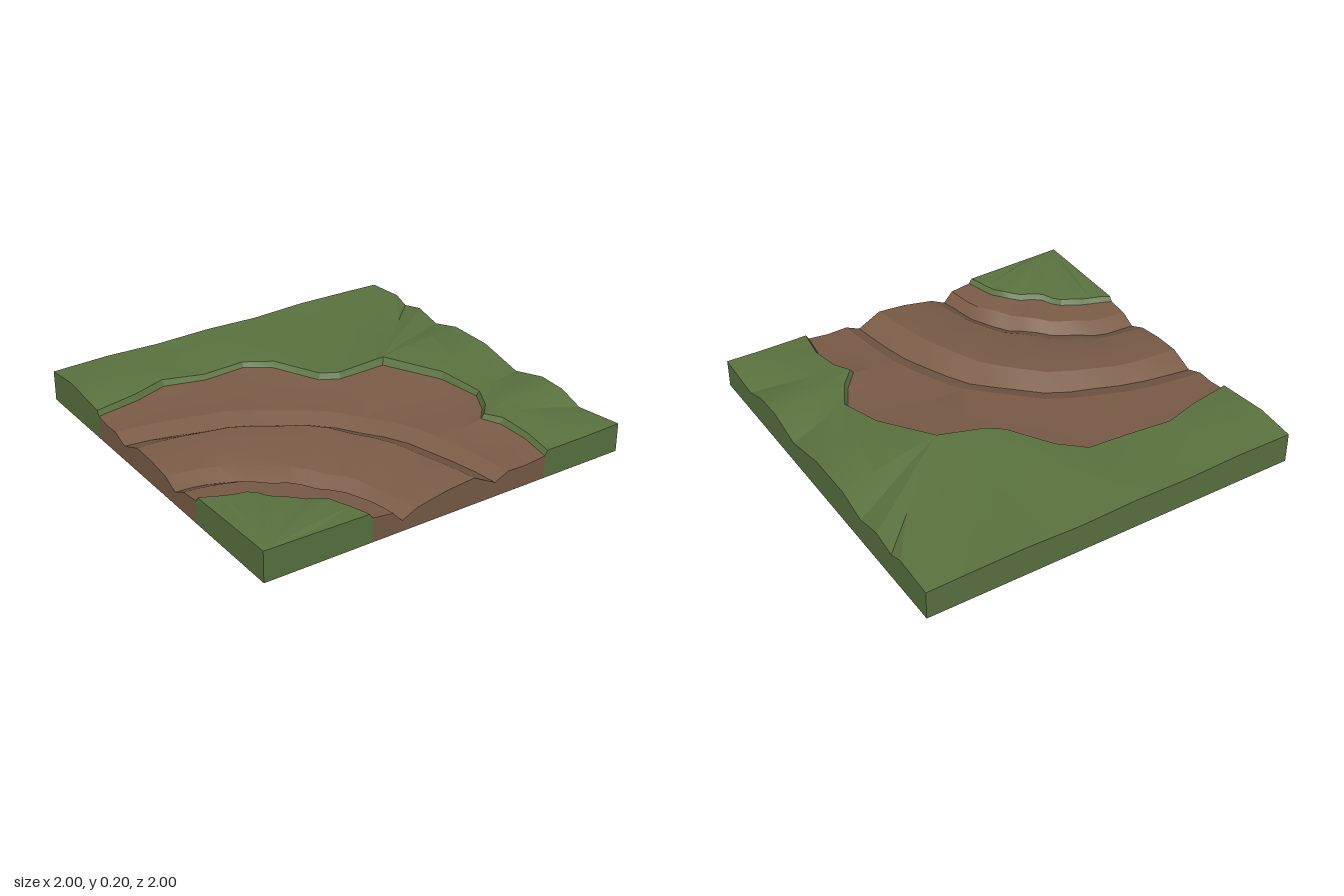
import * as THREE from 'three';
import { mergeGeometries, toCreasedNormals } from 'three/addons/utils/BufferGeometryUtils.js';

const GRASS = 0x5b7340, SOIL = 0x7a5c47;
const V = (x, y, z) => new THREE.Vector3(x, y, z);

// Surface through rows of matching points (rows run inside to outside).
function loft(rows) {
  const pos = [];
  const tri = (a, b, c) => {
    if (a.distanceTo(b) < 1e-5 || b.distanceTo(c) < 1e-5 || c.distanceTo(a) < 1e-5) return;
    for (const p of [a, b, c]) pos.push(p.x, p.y, p.z);
  };
  for (let r = 0; r + 1 < rows.length; r++) {
    for (let i = 0; i + 1 < rows[r].length; i++) {
      const a = rows[r][i], b = rows[r][i + 1], c = rows[r + 1][i], d = rows[r + 1][i + 1];
      tri(a, b, c);
      tri(b, d, c);
    }
  }
  const g = new THREE.BufferGeometry();
  g.setAttribute('position', new THREE.Float32BufferAttribute(pos, 3));
  return g;
}

const ground = (pts) => pts.map((p) => V(p.x, 0, p.z));
// Vertical skirts under the two cut ends of a set of rows.
function endWalls(rows) {
  const left = rows.map((r) => r[0]);
  const front = rows.map((r) => r[r.length - 1]);
  return [loft([left, ground(left)]), loft([ground(front), front])];
}

function addPart(group, name, color, parts) {
  const geo = toCreasedNormals(mergeGeometries(parts), 0.3);
  const mesh = new THREE.Mesh(geo, new THREE.MeshStandardMaterial({ color, side: THREE.DoubleSide }));
  mesh.name = name;
  group.add(mesh);
}

// Smooth line from [x, z] pairs, height running from y0 (left) to y1 (front).
function contour(pairs, y0, y1, n) {
  const curve = new THREE.CatmullRomCurve3(pairs.map(([x, z]) => V(x, 0, z)), false, 'centripetal');
  return Array.from({ length: n }, (_, i) => {
    const u = i / (n - 1), p = curve.getPointAt(u);
    return p.setY(y0 + (y1 - y0) * u + 0.006 * Math.sin(i * 1.9) * Math.sin(Math.PI * u));
  });
}

// Shifts a line sideways, keeping its ends on the tile borders.
function outset(pts, d, heightAt) {
  const last = pts.length - 1;
  return pts.map((p, i) => {
    const t = pts[Math.min(i + 1, last)].clone().sub(pts[Math.max(i - 1, 0)]).setY(0).normalize();
    const q = V(p.x + t.z * d, heightAt(p, i), p.z - t.x * d);
    if (i === 0) q.x = -1;
    if (i === last) q.z = 1;
    return q;
  });
}

const mix = (a, b, t, bump = () => 0) => a.map((p, i) => {
  const q = p.clone().lerp(b[i], t);
  q.y += bump(q, i);
  return q;
});

export function createModel() {
  const group = new THREE.Group();
  group.name = 'terrainTile';

  // Outer edge of the soil: [x, z, soil height, grass lip height]
  const edge = [
    [-1, -0.5, 0.125, 0.15], [-0.77, -0.54, 0.125, 0.155], [-0.59, -0.595, 0.13, 0.16], [-0.37, -0.555, 0.12, 0.145],
    [-0.15, -0.55, 0.13, 0.155], [-0.03, -0.455, 0.135, 0.165], [0.1, -0.225, 0.125, 0.155], [0.19, -0.165, 0.13, 0.16],
    [0.43, -0.13, 0.155, 0.195], [0.6, 0.14, 0.14, 0.175], [0.65, 0.36, 0.125, 0.15], [0.58, 0.49, 0.13, 0.155],
    [0.5, 0.58, 0.14, 0.165], [0.55, 0.67, 0.135, 0.165], [0.565, 0.83, 0.125, 0.15], [0.54, 1, 0.12, 0.145],
  ];
  const n = edge.length;
  const soilEdge = edge.map(([x, z, y]) => V(x, y, z));
  const outerLip = outset(soilEdge, 0.016, (p, i) => edge[i][3]);

  // Curved track lines, from the inner corner outwards
  const innerEdge = contour([[-1, 0.44], [-0.9, 0.48], [-0.75, 0.55], [-0.69, 0.64], [-0.53, 0.77], [-0.48, 0.86], [-0.44, 1]], 0.12, 0.125, n);
  const innerLip = outset(innerEdge, -0.018, (p) => p.y + 0.025);
  const bank = contour([[-1, 0.33], [-0.82, 0.36], [-0.61, 0.49], [-0.44, 0.69], [-0.36, 0.83], [-0.33, 1]], 0.11, 0.11, n);
  const innerRut = contour([[-1, 0.25], [-0.8, 0.28], [-0.5, 0.51], [-0.35, 0.7], [-0.28, 1]], 0.07, 0.055, n);
  const rutSide = contour([[-1, 0.16], [-0.75, 0.21], [-0.54, 0.35], [-0.31, 0.62], [-0.25, 0.8], [-0.2, 1]], 0.11, 0.095, n);
  const crest = contour([[-1, -0.11], [-0.75, -0.09], [-0.45, 0.01], [-0.2, 0.19], [-0.03, 0.45], [0.07, 0.75], [0.12, 1]], 0.13, 0.14, n);
  const outerRut = contour([[-1, -0.24], [-0.81, -0.21], [-0.53, -0.13], [-0.34, -0.05], [-0.12, 0.12], [0.03, 0.3], [0.14, 0.52], [0.21, 0.77], [0.245, 1]], 0.08, 0.075, n);
  const outerBank = contour([[-1, -0.33], [-0.77, -0.3], [-0.45, -0.21], [-0.24, -0.1], [0, 0.11], [0.13, 0.28], [0.23, 0.5], [0.29, 0.77], [0.32, 1]], 0.115, 0.11, n);

  // Soil track with its two ruts and the wide outer apron
  const ripple = (q, i) => -0.008 + 0.008 * Math.sin(i * 2.3);
  const soilRows = [
    innerEdge, bank, innerRut, rutSide,
    mix(rutSide, crest, 0.5, () => 0.008), crest,
    outerRut, outerBank, mix(outerBank, soilEdge, 0.5, ripple), soilEdge,
  ];
  addPart(group, 'soilTrack', SOIL, [loft(soilRows), ...endWalls(soilRows)]);

  // Grass corner inside the bend
  const corner = innerLip.map(() => V(-1, 0.16, 1));
  const cornerRows = [corner, mix(corner, innerLip, 0.5, (q) => (q.x > -0.95 && q.z < 0.95 ? 0.012 : 0)), innerLip, innerEdge];
  addPart(group, 'innerGrass', GRASS, [loft(cornerRows), ...endWalls(cornerRows)]);

  // Tile border around the outer grass: [lip index, x, y, z]
  const border = [
    [0, -1, 0.155, -0.65], [0, -1, 0.18, -0.8], [1, -1, 0.16, -1],
    [2, -0.7, 0.165, -1], [3, -0.4, 0.155, -1], [4, -0.1, 0.16, -1],
    [5, 0.2, 0.15, -1], [6, 0.5, 0.16, -1], [7, 0.8, 0.155, -1],
    [7, 1, 0.15, -1], [7, 1, 0.165, -0.78], [8, 1, 0.135, -0.7], [8, 1, 0.165, -0.57],
    [8, 1, 0.13, -0.42], [8, 1, 0.175, -0.25], [9, 1, 0.175, 0],
    [10, 1, 0.12, 0.25], [11, 1, 0.17, 0.45], [11, 1, 0.165, 0.6],
    [12, 1, 0.12, 0.73], [13, 1, 0.15, 1], [14, 0.8, 0.145, 1],
  ];
  const lip = [outerLip[0], ...border.map(([i]) => outerLip[i]), outerLip[n - 1]];
  const rim = [outerLip[0], ...border.map(([, x, y, z]) => V(x, y, z)), outerLip[n - 1]];

  // Low hills: [x, z, height, radius]
  const hills = [[-0.85, -0.8, 0.018, 0.2], [0.5, -0.25, 0.012, 0.25], [0.02, -0.7, 0.01, 0.2], [0.75, 0.55, 0.015, 0.2], [0.3, -0.6, -0.006, 0.25]];
  const hill = (q) => {
    const inside = Math.min(1, 8 * (1 - Math.max(Math.abs(q.x), Math.abs(q.z))));
    return inside * hills.reduce((s, [x, z, h, r]) => s + h * Math.exp(-((q.x - x) ** 2 + (q.z - z) ** 2) / (r * r)), 0);
  };
  const grassRows = [lip, mix(lip, rim, 0.33, hill), mix(lip, rim, 0.67, hill), rim];
  const lipRows = [soilEdge, outerLip];
  addPart(group, 'outerGrass', GRASS, [loft(grassRows), loft(lipRows), ...endWalls(lipRows), loft([rim, ground(rim)])]);

  return group;
}
